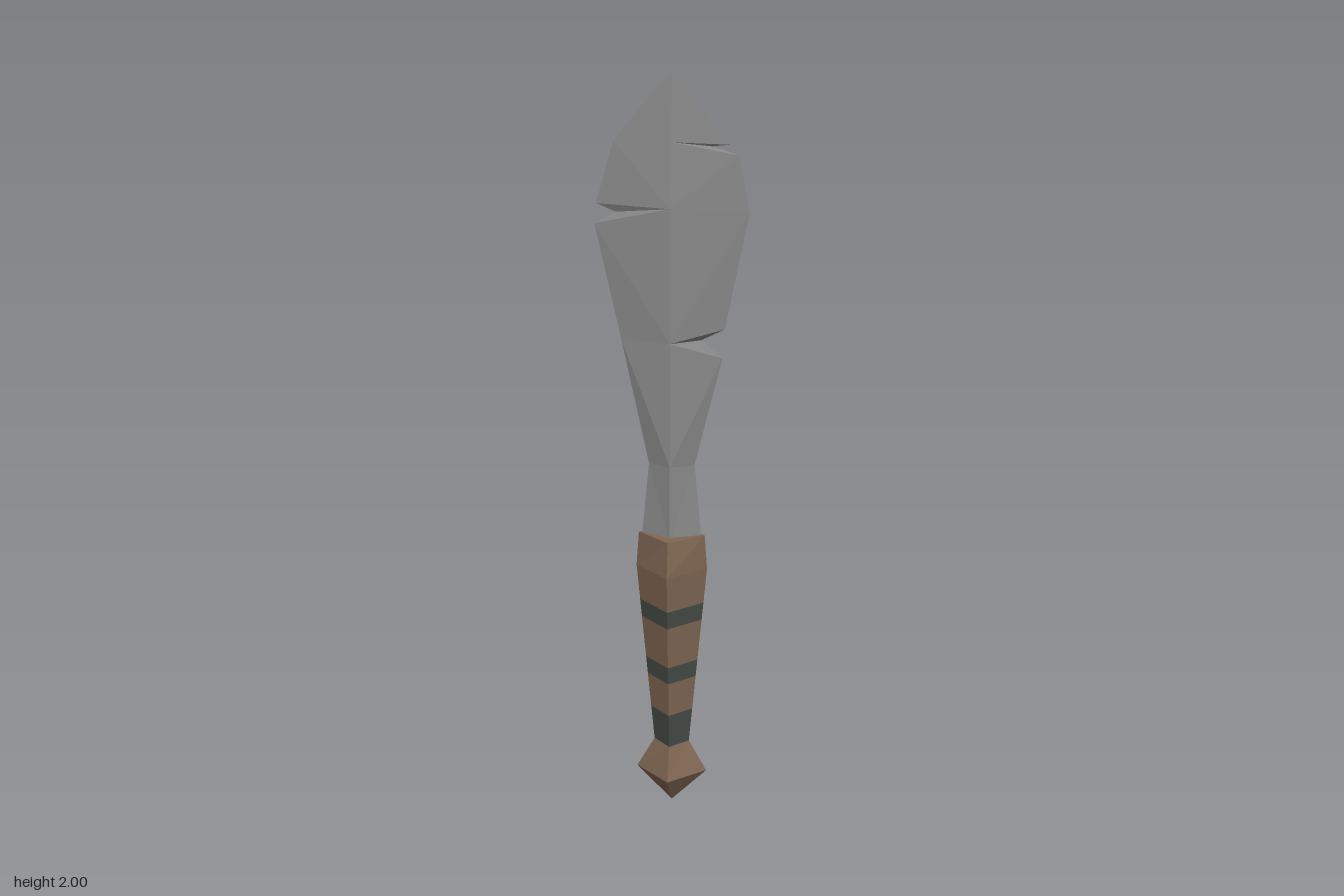
import * as THREE from 'three';

const material = (name, color) => Object.assign(new THREE.MeshStandardMaterial({ color, flatShading: true }), { name });

// Flat-faced mesh from a list of corner triples
function facets(name, points, mat) {
  const geo = new THREE.BufferGeometry();
  geo.setAttribute('position', new THREE.Float32BufferAttribute(points.flat(), 3));
  geo.computeVertexNormals();
  const mesh = new THREE.Mesh(geo, mat);
  mesh.name = name;
  return mesh;
}

// Diamond-section loft through [y, half width x, half depth z], bottom to top
function diamondLoft(name, sections, mat, capTop = false) {
  const ring = ([y, x, z]) => [[0, y, z], [x, y, 0], [0, y, -z], [-x, y, 0]];
  const pts = [];
  for (let i = 0; i + 1 < sections.length; i++) {
    const lo = ring(sections[i]), hi = ring(sections[i + 1]);
    for (let k = 0; k < 4; k++) {
      const n = (k + 1) % 4;
      if (sections[i][1] > 0) pts.push(lo[k], lo[n], hi[n]);
      pts.push(lo[k], hi[n], hi[k]);
    }
  }
  if (capTop) {
    const r = ring(sections[sections.length - 1]);
    pts.push(r[0], r[1], r[2], r[0], r[2], r[3]);
  }
  return facets(name, pts, mat);
}

export function createModel() {
  const model = new THREE.Group();
  model.name = 'dagger';
  const steel = material('steel', 0x888888);
  const wood = material('brown wood', 0x7f6652);
  const wrap = material('dark wrap', 0x444b47);
  const lerp = THREE.MathUtils.lerp;

  // Blade: rows of [edge x, edge y, ridge y]; notch rows share one ridge point
  const plusSide = [
    [0.08, 0.79, 0.79], [0.06, 1.0, 1.0],
    [0.13, 1.29, 1.33], [0.075, 1.335, 1.33], [0.135, 1.365, 1.33],
    [0.193, 1.66, 1.67],
    [0.165, 1.8, 1.83], [0.1, 1.82, 1.83], [0.142, 1.825, 1.83],
    [0, 2, 2],
  ];
  const minusSide = [
    [0.08, 0.79, 0.79], [0.06, 1.0, 1.0], [0.13, 1.33, 1.33],
    [0.195, 1.625, 1.67], [0.14, 1.655, 1.67], [0.19, 1.675, 1.67],
    [0.145, 1.83, 1.83], [0, 2, 2],
  ];
  const ridgeZ = (y) => (y > 1.67 ? lerp(0.03, 0, (y - 1.67) / 0.33) : lerp(0.034, 0.03, (y - 0.79) / 0.88));
  const blade = [];
  for (const [sx, rows] of [[1, plusSide], [-1, minusSide]]) {
    for (const sz of [1, -1]) {
      const edge = ([x, y]) => [sx * x, y, 0];
      const ridge = (r) => [0, r[2], sz * ridgeZ(r[2])];
      const tri = (a, b, c) => (sx * sz > 0 ? blade.push(a, b, c) : blade.push(a, c, b));
      for (let i = 0; i + 1 < rows.length; i++) {
        const a = rows[i], b = rows[i + 1];
        tri(ridge(a), edge(a), edge(b));
        if (a[2] !== b[2] && b[0] > 0) tri(ridge(a), edge(b), ridge(b));
      }
    }
  }
  model.add(facets('blade', blade, steel));

  // Grip: tapering segments, alternating wrap and wood
  const at = (y) => {
    const t = (y - 0.19) / 0.52;
    return [y, lerp(0.048, 0.095, t), lerp(0.045, 0.087, t)];
  };
  const cuts = [0.19, 0.29, 0.39, 0.44, 0.56, 0.61, 0.71];
  for (let i = 0; i + 1 < cuts.length; i++) {
    const isWrap = i % 2 === 0;
    model.add(diamondLoft(isWrap ? 'gripWrap' : 'gripWood', [at(cuts[i]), at(cuts[i + 1])], isWrap ? wrap : wood));
  }

  // Collar at the top of the grip, and the pointed pommel
  model.add(diamondLoft('collar', [at(0.71), [0.805, 0.088, 0.07]], wood, true));
  model.add(diamondLoft('pommel', [[0, 0, 0], [0.1, 0.097, 0.082], [0.19, 0.048, 0.045]], wood));

  return model;
}
